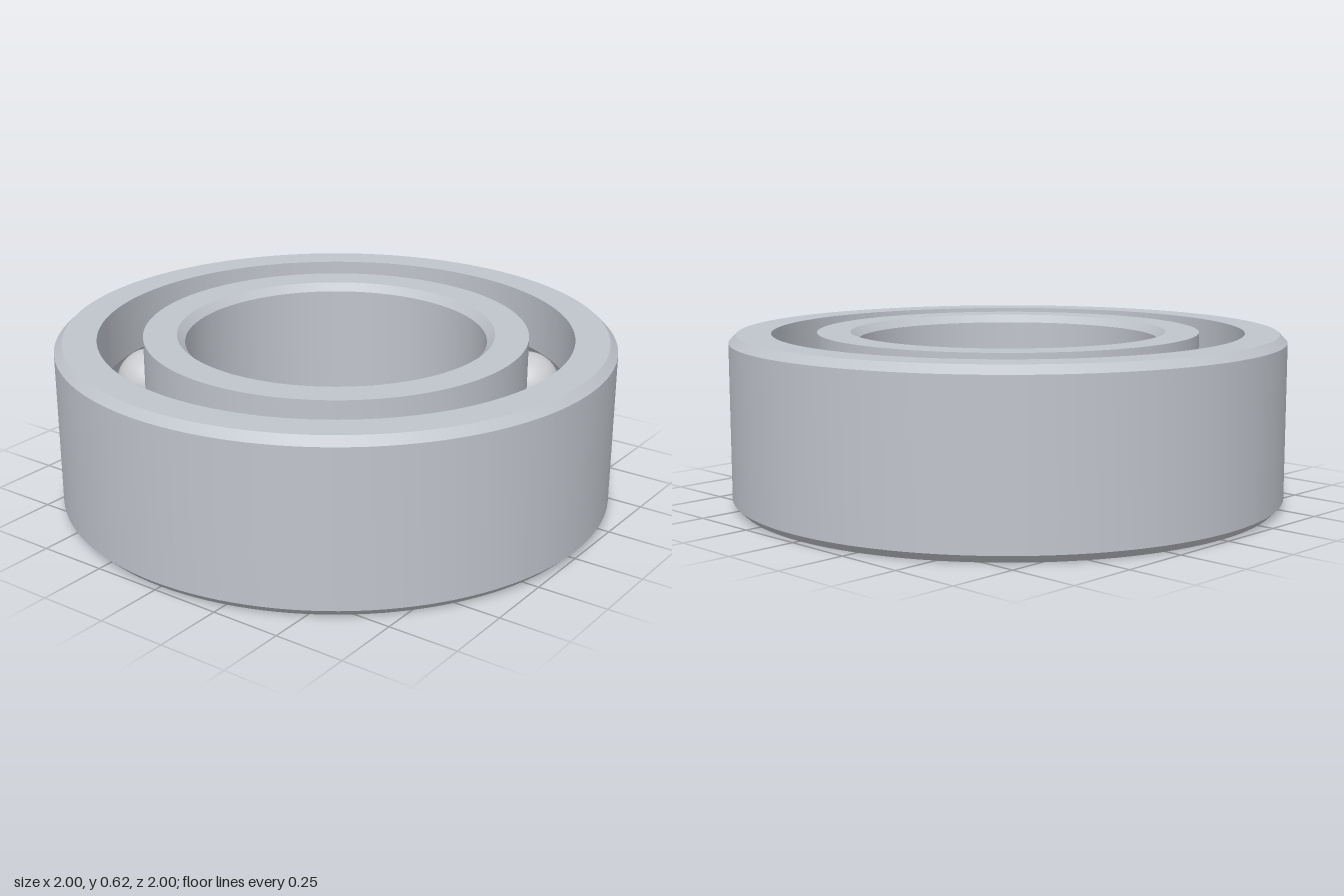
import * as THREE from 'three';
import { toCreasedNormals } from 'three/addons/utils/BufferGeometryUtils.js';

const H = 0.615;          // ring height
const MID = H / 2;        // ball plane
const PITCH = 0.768;      // radius of the ball circle
const BALL = 0.126;       // ball radius
const GROOVE = 0.128;     // raceway radius
const CHAMFER = 0.028;
const BALLS = 13;

// Raceway arc between the two edges of a land at radius r, listed bottom to top
function raceway(r, steps = 14) {
  const side = Math.sign(r - PITCH);
  const half = Math.acos(Math.abs(r - PITCH) / GROOVE);
  return Array.from({ length: steps + 1 }, (_, i) => {
    const a = -half + (2 * half * i) / steps;
    return [PITCH + side * GROOVE * Math.cos(a), MID + GROOVE * Math.sin(a)];
  });
}

// Revolve a closed counter-clockwise profile of [radius, height] pairs
function ring(name, profile, material) {
  const points = [...profile, profile[0]].map(([r, y]) => new THREE.Vector2(r, y));
  const geometry = toCreasedNormals(new THREE.LatheGeometry(points, 128), 0.5);
  const mesh = new THREE.Mesh(geometry, material);
  mesh.name = name;
  return mesh;
}

export function createModel() {
  const group = new THREE.Group();
  group.name = 'ballBearing';
  const ringSteel = new THREE.MeshStandardMaterial({ color: 0xc0c4cb });
  ringSteel.name = 'ring steel';
  const ballSteel = new THREE.MeshStandardMaterial({ color: 0xc8cacd });
  ballSteel.name = 'ball steel';

  // Outer race: chamfered outside, grooved inside
  const outerLand = 0.85;
  group.add(ring('outerRace', [
    [outerLand, 0], [1 - CHAMFER, 0], [1, CHAMFER],
    [1, H - CHAMFER], [1 - CHAMFER, H], [outerLand, H],
    ...raceway(outerLand).reverse(),
  ], ringSteel));

  // Inner race: grooved outside, chamfered bore
  const innerLand = 0.688, bore = 0.54;
  group.add(ring('innerRace', [
    [bore + CHAMFER, 0], [innerLand, 0],
    ...raceway(innerLand),
    [innerLand, H], [bore + CHAMFER, H], [bore, H - CHAMFER], [bore, CHAMFER],
  ], ringSteel));

  // Balls, evenly spaced from +x
  const balls = new THREE.Group();
  balls.name = 'balls';
  const sphere = new THREE.SphereGeometry(BALL, 32, 20);
  for (let i = 0; i < BALLS; i++) {
    const a = (i / BALLS) * Math.PI * 2;
    const ball = new THREE.Mesh(sphere, ballSteel);
    ball.name = `ball${i + 1}`;
    ball.position.set(PITCH * Math.cos(a), MID, PITCH * Math.sin(a));
    balls.add(ball);
  }
  group.add(balls);
  return group;
}
